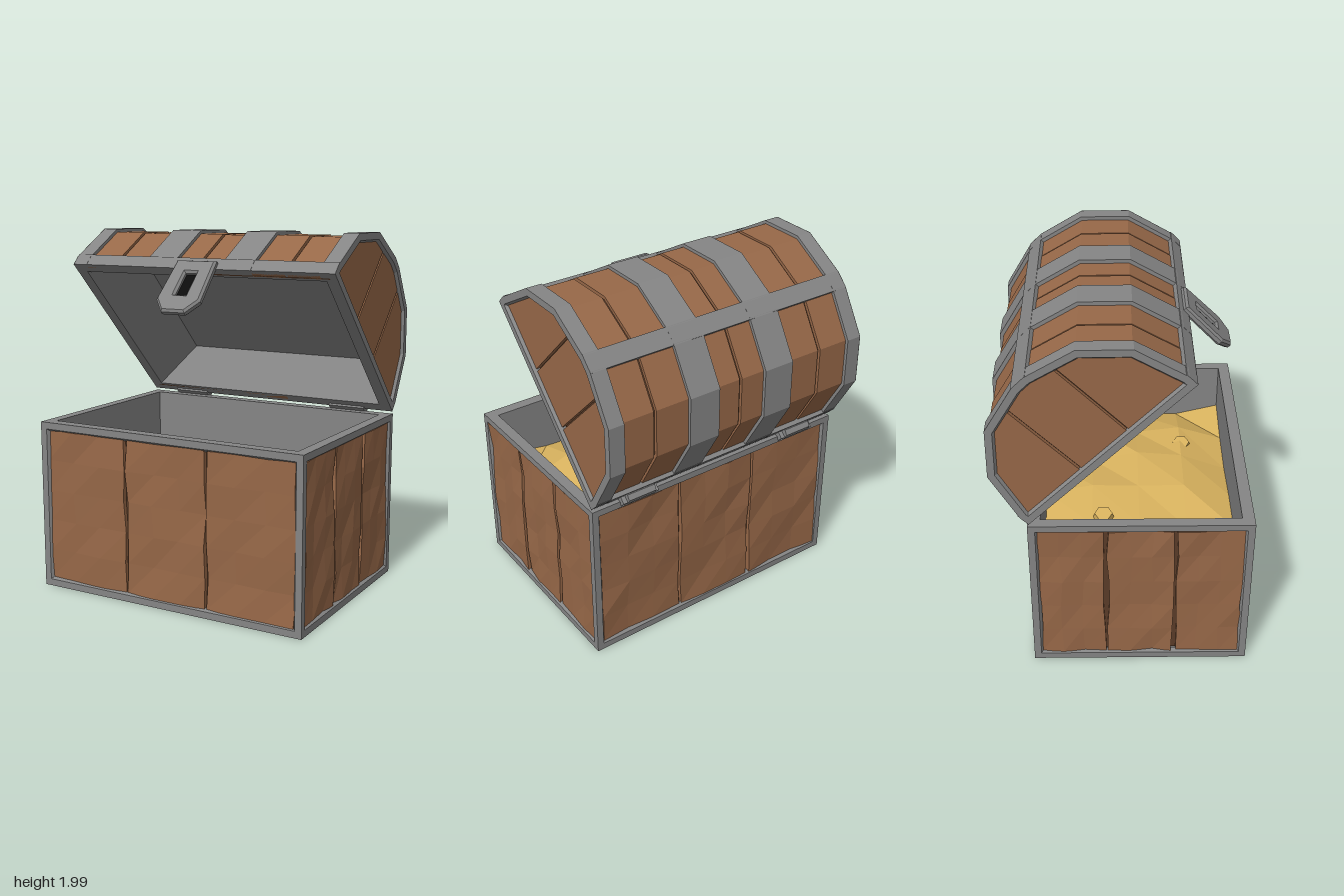
import * as THREE from 'three';

const mat = (color, side = THREE.FrontSide) => new THREE.MeshStandardMaterial({ color, side, flatShading: true });
const metal = mat(0x858585, THREE.DoubleSide);
const wood = mat(0x976848);
const darkWood = mat(0x5a3c28);
const gold = mat(0xd8b25e);
const black = mat(0x0c0c0c);

const V = (x, y) => new THREE.Vector2(x, y);
const rect = (x0, y0, x1, y1) => [V(x0, y0), V(x1, y0), V(x1, y1), V(x0, y1)];

function add(parent, name, geometry, material, x = 0, y = 0, z = 0) {
  const mesh = new THREE.Mesh(geometry, material);
  mesh.name = name;
  mesh.position.set(x, y, z);
  parent.add(mesh);
  return mesh;
}
const box = (w, h, d) => new THREE.BoxGeometry(w, h, d);

// Repeatable value in -1..1 from a position
function noise(x, y, z) {
  const s = Math.sin(x * 127.1 + y * 311.7 + z * 74.7) * 43758.5453;
  return (s - Math.floor(s)) * 2 - 1;
}

// Moves each side of a counter-clockwise polygon inwards by d
function inset(pts, d) {
  return pts.map((p, i) => {
    const a = pts[(i + pts.length - 1) % pts.length], b = pts[(i + 1) % pts.length];
    const n1 = V(a.y - p.y, p.x - a.x).normalize(), n2 = V(p.y - b.y, b.x - p.x).normalize();
    return n1.clone().add(n2).multiplyScalar(d / (1 + n1.dot(n2))).add(p);
  });
}

// Joins closed loops of 3D points; optionally closes the last one
function loft(loops, cap = false) {
  const out = [];
  const tri = (...ps) => ps.forEach(p => out.push(...p));
  for (let k = 0; k + 1 < loops.length; k++) {
    const A = loops[k], B = loops[k + 1];
    A.forEach((a, i) => {
      const j = (i + 1) % A.length;
      tri(a, A[j], B[j]);
      tri(a, B[j], B[i]);
    });
  }
  const L = loops[loops.length - 1];
  if (cap) for (let i = 1; i + 1 < L.length; i++) tri(L[0], L[i], L[i + 1]);
  const g = new THREE.BufferGeometry();
  g.setAttribute('position', new THREE.Float32BufferAttribute(out, 3));
  g.computeVertexNormals();
  return g;
}

// Flat border with a bevelled inner edge
const border = (outline, map) => loft([[0, 0], [0.038, 0], [0.054, -0.022]]
  .map(([d, depth]) => inset(outline, d).map(p => map(p, depth))));

// Rough plank: a box whose vertices are shifted by position
function plank(w, h, d, seed) {
  const g = new THREE.BoxGeometry(w, h, d, 3, 5, 1), p = g.attributes.position;
  for (let i = 0; i < p.count; i++) {
    const x = p.getX(i), y = p.getY(i), z = p.getZ(i);
    const n = noise(x + seed, y, 1), m = noise(x, y + seed, 2);
    p.setX(i, x + n * 0.009);
    if (z > 0) p.setZ(i, z + m * 0.009);
  }
  g.computeVertexNormals();
  return g;
}

// Lid profile (depth, height) from the front edge over the top to the hinge edge
const half = [V(1.185, 0), V(1.185, 0.06), V(1.105, 0.35), V(0.91, 0.542), V(0.635, 0.612)];
const profile = [...half, ...half.map(p => V(1.185 - p.x, p.y)).reverse()];

function arch(d) {
  const a = inset(profile, d);
  a[0].y = a[a.length - 1].y = 0;
  return a;
}

// Extrudes a lid profile outline from x0 to x1
function across(pts, x0, x1) {
  const g = new THREE.ExtrudeGeometry(new THREE.Shape(pts), { depth: x1 - x0, bevelEnabled: false });
  return g.translate(0, 0, -x1).rotateY(-Math.PI / 2);
}
const hoop = (d0, d1, x0, x1) => across([...arch(d0), ...arch(d1).reverse()], x0, x1);

function buildChest() {
  const chest = new THREE.Group();
  chest.name = 'chestBody';
  chest.position.z = 0.09;
  // Four framed plank walls
  for (let k = 0; k < 4; k++) {
    const wall = new THREE.Group();
    wall.name = ['frontWall', 'leftWall', 'backWall', 'rightWall'][k];
    wall.rotation.y = k * Math.PI / 2;
    const [hw, dist, seam] = k % 2 ? [0.59, 0.81, 0.185] : [0.81, 0.59, 0.25];
    add(wall, 'wallFrame', border(rect(-hw, 0, hw, 0.95), (p, d) => [p.x, p.y, dist + d]), metal);
    add(wall, 'wallBacking', box(2 * hw - 0.1, 0.85, 0.01), darkWood, 0, 0.475, dist - 0.04);
    const e = hw - 0.045;
    [[-e, -seam - 0.008], [-seam + 0.008, seam - 0.008], [seam + 0.008, e]].forEach(([a, b], i) =>
      add(wall, 'wallPlank', plank(b - a, 0.86, 0.03, k * 3 + i), wood, (a + b) / 2, 0.475, dist - 0.025));
    chest.add(wall);
  }
  // Rim, inner walls and floor
  const level = (x, z0, z1, y) => rect(-x, -z1, x, -z0).map(p => [p.x, y, -p.y]);
  add(chest, 'rimAndInside', loft([level(0.81, -0.59, 0.59, 0.95), level(0.75, -0.525, 0.525, 0.95),
    level(0.75, -0.525, 0.525, 0.05)], true), metal);
  add(chest, 'bottomPlate', box(1.61, 0.04, 1.17), metal, 0, 0.02, 0);

  // Treasure heap
  const heap = new THREE.PlaneGeometry(1.5, 1.05, 5, 4).rotateX(-Math.PI / 2), p = heap.attributes.position;
  for (let i = 0; i < p.count; i++) {
    const x = p.getX(i), z = p.getZ(i);
    const mound = Math.max(0, 1 - (x / 0.75) ** 2) * Math.max(0, 1 - (z / 0.53) ** 2);
    p.setY(i, 0.64 + 0.07 * mound + 0.035 * noise(x, 3, z));
  }
  heap.computeVertexNormals();
  add(chest, 'goldHeap', heap, gold);
  [[-0.4, 0.69, -0.2], [0.3, 0.68, 0.27]].forEach(([x, y, z]) => {
    add(chest, 'goldCoin', new THREE.CylinderGeometry(0.05, 0.06, 0.05, 6), gold, x, y, z).rotation.z = 0.25;
  });
  return chest;
}

function buildLid() {
  const lid = new THREE.Group();
  lid.name = 'lid';
  lid.position.set(0, 0.965, -0.49);
  lid.rotation.x = -Math.PI / 4;
  // Metal hoops, ridge and lower rails
  [[-0.809, -0.72], [-0.33, -0.148], [0.148, 0.33], [0.72, 0.809]].forEach(([a, b]) =>
    add(lid, 'hoop', hoop(0, 0.038, a, b), metal));
  add(lid, 'ridgeBand', box(1.616, 0.035, 0.1), metal, 0, 0.594, 0.5925);
  for (const z of [0.016, 1.169]) add(lid, 'lowerRail', box(1.618, 0.075, 0.03), metal, 0, 0.039, z);

  // Curved planks, two in each bay
  add(lid, 'lidBacking', hoop(0.036, 0.046, -0.77, 0.77), darkWood);
  [[-0.72, -0.53, -0.33], [-0.148, 0, 0.148], [0.33, 0.53, 0.72]].forEach(([a, m, b]) => {
    add(lid, 'lidPlank', hoop(0.018, 0.046, a, m - 0.007), wood);
    add(lid, 'lidPlank', hoop(0.021, 0.046, m + 0.007, b), wood);
  });

  // Arched ends: bevelled border and three upright planks
  const inner = inset(profile, 0.042).reverse();
  const topAt = u => {
    const i = Math.max(2, inner.findIndex(p => p.x > u + 1e-6));
    const a = inner[i - 1], b = inner[i];
    return a.y + (b.y - a.y) * (u - a.x) / (b.x - a.x);
  };
  for (const s of [-1, 1]) {
    add(lid, 'endBorder', border(profile, (p, d) => [s * (0.81 + d), p.y, p.x]), metal);
    add(lid, 'endBacking', across(inner, s * 0.765 - 0.005, s * 0.765 + 0.005), darkWood);
    [[0.05, 0.428], [0.442, 0.757], [0.771, 1.135]].forEach(([a, b]) => {
      const mid = inner.filter(p => p.x > a + 0.01 && p.x < b - 0.01 && p.y > 0.05);
      const pts = [V(b, 0.042), V(a, 0.042), V(a, topAt(a)), ...mid, V(b, topAt(b))].reverse();
      add(lid, 'endPlank', across(pts, s * 0.782 - 0.012, s * 0.782 + 0.012), wood);
    });
  }

  // Underside rim and tapered hollow
  const level = (x, u0, u1, v) => rect(-x, u0, x, u1).map(p => [p.x, v, p.y]);
  add(lid, 'lidInside', loft([level(0.81, 0, 1.185, 0), level(0.745, 0.06, 1.125, 0),
    level(0.57, 0.12, 1.065, 0.27)], true), metal);

  // Hanging hasp with a keyhole
  const plate = new THREE.Shape([V(-0.11, 0.03), V(-0.122, -0.23), V(-0.065, -0.302), V(0.065, -0.302),
    V(0.122, -0.23), V(0.11, 0.03)]);
  plate.holes.push(new THREE.Path(rect(-0.045, -0.21, 0.045, -0.035)));
  const bevel = { depth: 0.02, bevelThickness: 0.012, bevelSize: 0.012, bevelSegments: 1 };
  add(lid, 'hasp', new THREE.ExtrudeGeometry(plate, bevel), metal, 0, 0, 1.18);
  add(lid, 'keyhole', box(0.08, 0.17, 0.012), black, 0, -0.122, 1.182);
  return lid;
}

export function createModel() {
  const model = new THREE.Group();
  model.name = 'treasureChest';
  model.add(buildChest(), buildLid());
  // Hinges
  for (const x of [-0.53, 0.53]) {
    add(model, 'hingeLeaf', box(0.22, 0.035, 0.06), metal, x, 0.962, -0.5).rotation.x = -Math.PI / 4;
    add(model, 'hingeBarrel', new THREE.CylinderGeometry(0.032, 0.032, 0.17, 6).rotateZ(Math.PI / 2),
      metal, x, 0.972, -0.515);
  }
  return model;
}
